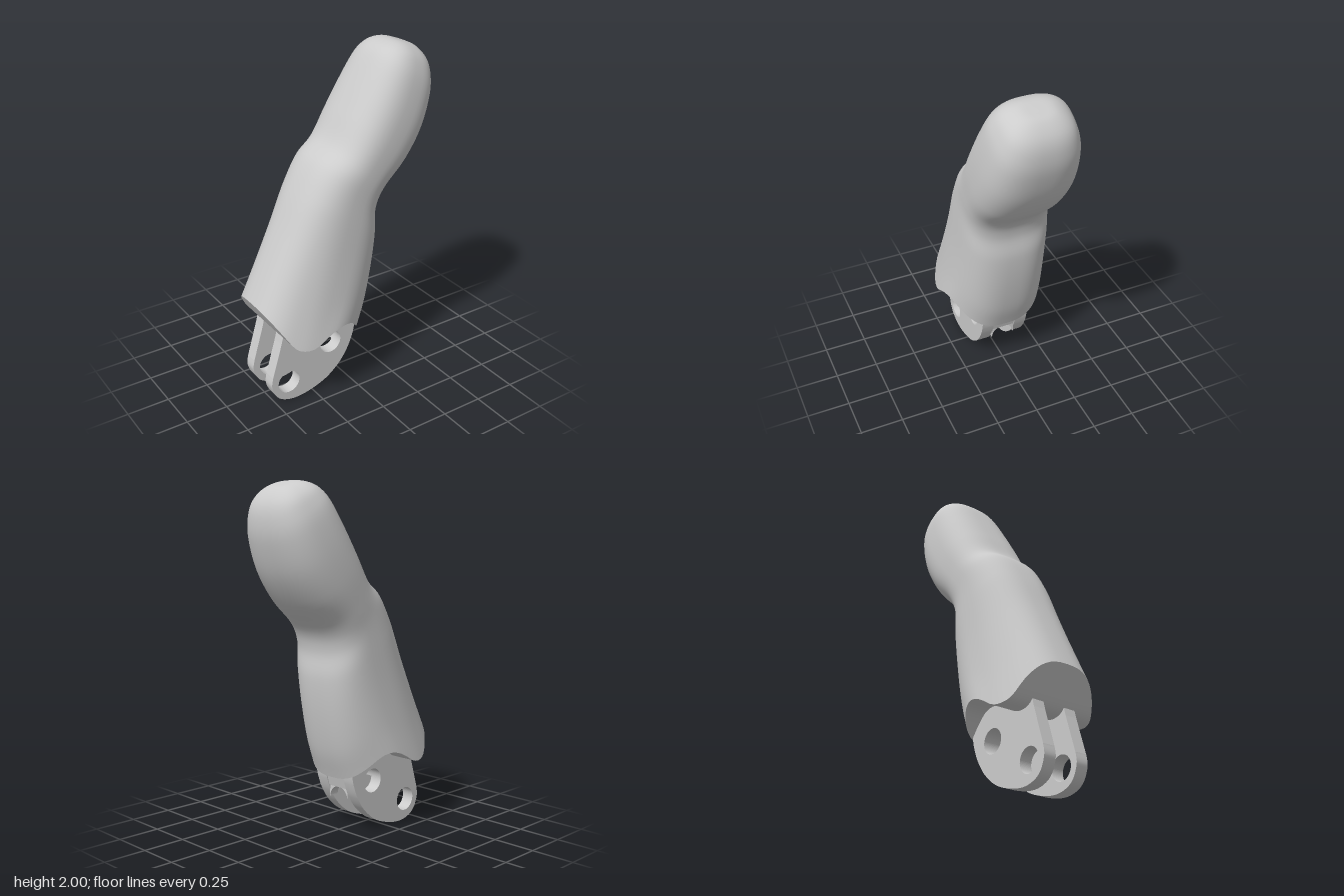
import * as THREE from 'three';

const material = new THREE.MeshStandardMaterial({ color: 0xcccccc, roughness: 0.8 });
const V = (p) => new THREE.Vector3(p[0], p[1], p[2] || 0);
const spline = (pts) => new THREE.CatmullRomCurve3(pts.map(V), false, 'catmullrom', 0.5);

function add(parent, name, geometry) {
  const mesh = new THREE.Mesh(geometry, material);
  mesh.name = name;
  parent.add(mesh);
  return mesh;
}

function indexed(positions, indices) {
  const g = new THREE.BufferGeometry();
  g.setAttribute('position', new THREE.Float32BufferAttribute(positions, 3));
  g.setIndex(indices);
  g.computeVertexNormals();
  return g;
}

// Back outline (x, y, half width) and matching palm-side outline (x, y)
const back = spline([
  [-0.56, 0.63, 0.3], [-0.47, 0.82, 0.28], [-0.37, 1.03, 0.265], [-0.27, 1.24, 0.258],
  [-0.17, 1.4, 0.255], [-0.06, 1.49, 0.26], [0.03, 1.64, 0.267], [0.12, 1.79, 0.26],
  [0.2, 1.915, 0.238], [0.25, 1.968, 0.207], [0.3, 1.992, 0.165], [0.355, 1.998, 0.095],
  [0.42, 1.98, 0],
]);
const palm = spline([
  [0.06, 0.33], [0.12, 0.5], [0.165, 0.72], [0.185, 0.92],
  [0.177, 1.07], [0.22, 1.19], [0.36, 1.33], [0.47, 1.49],
  [0.535, 1.66], [0.553, 1.78], [0.538, 1.875], [0.485, 1.95],
  [0.42, 1.98],
]);
// Wavy bottom edge, evenly spaced from back to palm side
const cutY = [0.63, 0.525, 0.43, 0.405, 0.413, 0.45, 0.48, 0.49, 0.47, 0.41, 0.33];
const cut = spline(cutY.map((y, i) => [-0.56 + 0.062 * i, y]));

const N = 72, ROWS = 72, POWER = 2 / 2.7;
const soft = (s) => Math.sign(s) * Math.pow(Math.abs(s), POWER);

function sectionPoint(v, j) {
  const a = (j / N) * Math.PI * 2;
  const f = THREE.MathUtils.clamp((soft(Math.cos(a)) + 1) / 2, 0, 1);
  const l = back.getPoint(v), r = palm.getPoint(v);
  const p = new THREE.Vector3(
    l.x + (r.x - l.x) * f,
    l.y + (r.y - l.y) * f,
    Math.max(l.z, 0) * soft(Math.sin(a)));
  // Pull the lowest rows onto the wavy edge
  const pull = Math.max(0, 1 - v / 0.25);
  const c = cut.getPoint(f);
  p.x += (c.x - (-0.56 + 0.62 * f)) * pull;
  p.y += (c.y - (0.63 - 0.3 * f)) * pull;
  return p;
}

function fingerSkin() {
  const pos = [], idx = [];
  for (let i = 0; i <= ROWS; i++) {
    for (let j = 0; j < N; j++) pos.push(...sectionPoint(i / ROWS, j).toArray());
  }
  for (let i = 0; i < ROWS; i++) {
    for (let j = 0; j < N; j++) {
      const a = i * N + j, b = i * N + (j + 1) % N;
      idx.push(a, a + N, b, b, a + N, b + N);
    }
  }
  return indexed(pos, idx);
}

// Underside joins the two mirrored halves of the lowest ring
function underside() {
  const pos = [], idx = [];
  for (let j = 0; j <= N / 2; j++) {
    const p = sectionPoint(0, j);
    pos.push(p.x, p.y, p.z, p.x, p.y, -p.z);
    if (j < N / 2) {
      const a = 2 * j;
      idx.push(a, a + 2, a + 1, a + 1, a + 2, a + 3);
    }
  }
  return indexed(pos, idx);
}

function plate(shape, z0, z1) {
  const g = new THREE.ExtrudeGeometry(shape, { depth: z1 - z0, bevelEnabled: false, curveSegments: 32 });
  return g.translate(0, 0, z0);
}

function lugShape() {
  const s = new THREE.Shape();
  s.moveTo(-0.44, 0.47);
  s.lineTo(-0.458, 0.4);
  s.lineTo(-0.52, 0.19);
  s.splineThru([
    [-0.527, 0.13], [-0.5, 0.06], [-0.45, 0.02], [-0.37, 0.003], [-0.27, 0.017],
    [-0.16, 0.058], [-0.07, 0.13], [-0.01, 0.215], [0.025, 0.3], [0.04, 0.37],
  ].map((p) => new THREE.Vector2(...p)));
  s.lineTo(0.03, 0.44);
  s.lineTo(-0.05, 0.54);
  s.lineTo(-0.34, 0.54);
  for (const [x, y] of [[-0.415, 0.13], [-0.13, 0.3]]) {
    s.holes.push(new THREE.Path().absarc(x, y, 0.07, 0, Math.PI * 2, true));
  }
  return s;
}

// Bridge between the lugs, wrapped around the upper pin hole
function webShape() {
  const s = new THREE.Shape();
  s.moveTo(0.008, 0.26);
  s.lineTo(0.04, 0.38);
  s.lineTo(0, 0.5);
  s.lineTo(-0.2, 0.52);
  s.lineTo(-0.2, 0.3);
  s.absarc(-0.13, 0.3, 0.07, Math.PI, -0.608, true);
  return s;
}

// Corner fillet that rounds the top of the slot
function slotFillet() {
  const s = new THREE.Shape();
  s.moveTo(0.072, 0.19);
  s.lineTo(0.072, 0.265);
  s.lineTo(0, 0.265);
  s.lineTo(0, 0.26);
  s.absarc(0, 0.19, 0.07, Math.PI / 2, 0, true);
  const g = new THREE.ExtrudeGeometry(s, { depth: 0.06, bevelEnabled: false, curveSegments: 12 });
  return g.rotateY(-Math.PI / 2).translate(0, 0, 0);
}

export function createModel() {
  const model = new THREE.Group();
  model.name = 'jointedFingertip';

  const body = new THREE.Group();
  body.name = 'fingerBody';
  add(body, 'fingerSkin', fingerSkin());
  add(body, 'fingerUnderside', underside());

  const hinge = new THREE.Group();
  hinge.name = 'hinge';
  add(hinge, 'leftLug', plate(lugShape(), 0.07, 0.145));
  add(hinge, 'rightLug', plate(lugShape(), -0.145, -0.07));
  add(hinge, 'hingeWeb', plate(webShape(), -0.07, 0.07));
  add(hinge, 'slotFilletFront', slotFillet());
  const mirrored = add(hinge, 'slotFilletBack', slotFillet());
  mirrored.scale.z = -1;

  model.add(body, hinge);
  return model;
}
